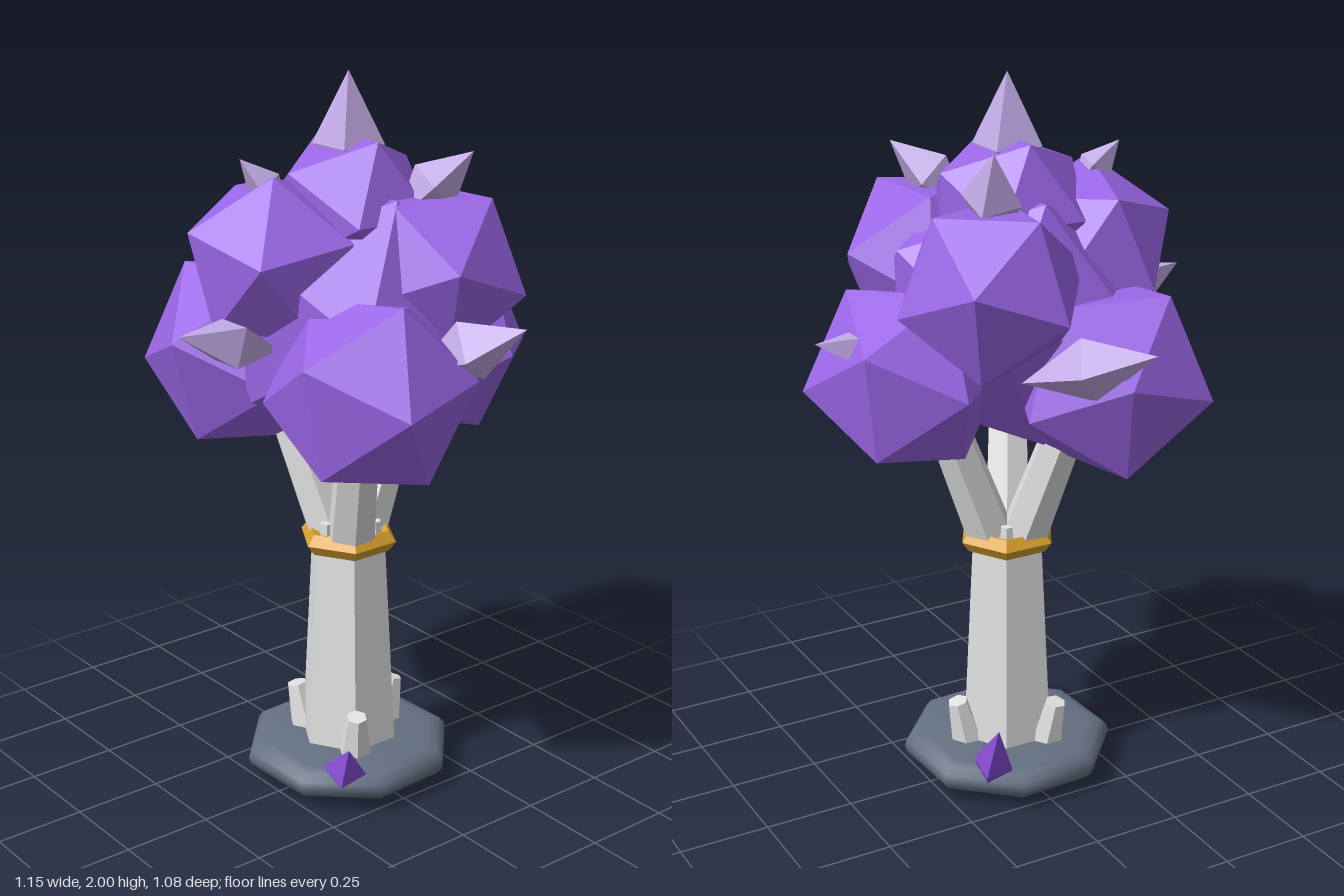
import * as THREE from 'three';
import { toCreasedNormals } from 'three/addons/utils/BufferGeometryUtils.js';

const V = (a) => new THREE.Vector3(...a);
const UP = new THREE.Vector3(0, 1, 0);

function paint(name, color) {
  const m = new THREE.MeshStandardMaterial({ color });
  m.name = name;
  return m;
}

// geometry with one normal per face
function faceted(geometry) {
  const g = geometry.index ? geometry.toNonIndexed() : geometry;
  g.computeVertexNormals();
  return g;
}

export function createModel() {
  const group = new THREE.Group();
  const bark = paint('pale bark', 0xe2e2e2);
  const leaf = paint('violet foliage', 0x9a66e6);
  const shard = paint('lavender crystal', 0xc2aae6);
  const gem = paint('purple crystal', 0x8a4fd8);
  const gold = paint('gold', 0xd9a02e);
  const slate = paint('slate', 0x647082);

  function add(name, geometry, material) {
    const mesh = new THREE.Mesh(geometry, material);
    mesh.name = name;
    group.add(mesh);
    return mesh;
  }

  // tapered six-sided post between two points
  function post(name, from, to, r0, r1) {
    const a = V(from), b = V(to), dir = b.clone().sub(a);
    const g = new THREE.CylinderGeometry(r1, r0, dir.length(), 6);
    g.rotateY(Math.PI / 6);
    const mesh = add(name, faceted(g), bark);
    mesh.position.copy(a).add(b).multiplyScalar(0.5);
    mesh.quaternion.setFromUnitVectors(UP, dir.normalize());
  }

  // stretched octahedron with its widest ring at centre and its point at tip
  function crystal(name, centre, tip, radius, material) {
    const c = V(centre), dir = V(tip).sub(c), len = dir.length();
    const g = new THREE.OctahedronGeometry(1);
    g.rotateY(Math.PI / 4);
    g.scale(radius, len, radius);
    const mesh = add(name, faceted(g), material);
    mesh.position.copy(c);
    mesh.quaternion.setFromUnitVectors(UP, dir.normalize());
  }

  // icosahedron turned so that two neighbouring corners point along d1 and d2
  function clump(name, centre, radius, d1, d2) {
    const a = V(d1).normalize(), b = V(d2).normalize();
    const y = a.clone().add(b).normalize();
    const x = b.sub(a);
    x.addScaledVector(y, -x.dot(y)).normalize();
    const z = x.clone().cross(y);
    const mesh = add(name, faceted(new THREE.IcosahedronGeometry(radius, 0)), leaf);
    mesh.position.set(...centre);
    mesh.quaternion.setFromRotationMatrix(new THREE.Matrix4().makeBasis(x, y, z));
  }

  // octagonal base with a rounded rim
  const rim = [[0, 0.03], [0.245, 0.03], [0.276, 0.038], [0.293, 0.056], [0.297, 0.073],
    [0.293, 0.09], [0.276, 0.108], [0.245, 0.116], [0, 0.116]];
  const baseGeo = new THREE.LatheGeometry(rim.map((p) => new THREE.Vector2(...p)), 8);
  baseGeo.rotateY(-0.35);
  add('base', toCreasedNormals(baseGeo, Math.PI / 3.5), slate);

  // trunk and gold collar
  post('trunk', [0, 0.03, 0], [0, 0.74, 0], 0.145, 0.107);
  const collar = new THREE.TorusGeometry(0.11, 0.031, 5, 6);
  collar.rotateX(Math.PI / 2);
  add('collar', faceted(collar), gold).position.y = 0.718;

  // branches, roots and studs at thirds of a turn
  for (let i = 0; i < 3; i++) {
    const t = (i * Math.PI * 2) / 3, u = t + Math.PI / 3;
    const at = (r, y, w = t) => [r * Math.cos(w), y, r * Math.sin(w)];
    post('branch', at(0.035, 0.68), at(0.24, 1.22), 0.07, 0.054);
    post('root', at(0.112, 0.035), at(0.16, 0.235), 0.06, 0.029);
    post('stud', at(0.078, 0.69, u), at(0.078, 0.772, u), 0.022, 0.018);
  }

  // foliage: core, three lower clumps, three upper clumps and a crown
  clump('foliageCore', [0, 1.37, 0], 0.38, [0, 0.851, 0.526], [0, 0.851, -0.526]);
  clump('lowerFoliage', [-0.14, 1.23, 0.265], 0.28, [-0.3, 0, 0.95], [-0.89, 0.41, 0.16]);
  clump('lowerFoliage', [0.3, 1.23, 0.005], 0.273, [0.165, 0.04, 0.985], [0.43, 0.8, 0.385]);
  clump('lowerFoliage', [-0.165, 1.23, -0.25], 0.285, [-0.35, 0.81, -0.46], [-0.66, -0.14, -0.74]);
  // flat-topped clumps, given by the headings of two corners of the top face
  const topCorner = (deg) => {
    const w = THREE.MathUtils.degToRad(deg);
    return [0.607 * Math.cos(w), 0.795, 0.607 * Math.sin(w)];
  };
  clump('upperFoliage', [0.14, 1.485, 0.178], 0.255, topCorner(55), topCorner(175));
  clump('upperFoliage', [0.148, 1.485, -0.183], 0.255, topCorner(8), topCorner(128));
  clump('upperFoliage', [-0.207, 1.52, -0.045], 0.25, [-0.87, 0.38, -0.3], [-0.2, 0.95, 0.25]);
  clump('crownFoliage', [0, 1.635, 0], 0.23, [0, 0.851, 0.526], [0, 0.851, -0.526]);

  // pale crystals on the foliage: centre, tip, radius
  [
    [[0, 1.81, 0], [0, 2, 0], 0.095],
    [[0.135, 1.71, 0.185], [0.22, 1.8, 0.24], 0.075],
    [[0.14, 1.715, -0.17], [0.16, 1.845, -0.22], 0.08],
    [[-0.25, 1.73, -0.03], [-0.31, 1.8, -0.05], 0.05],
    [[-0.42, 1.36, 0.05], [-0.575, 1.405, 0.05], 0.075],
    [[0.06, 1.34, 0.42], [0.145, 1.405, 0.535], 0.085],
    [[0, 1.32, -0.42], [-0.125, 1.37, -0.54], 0.085],
    [[0.47, 1.345, -0.045], [0.575, 1.37, -0.04], 0.05],
  ].forEach(([c, tip, r]) => crystal('foliageCrystal', c, tip, r, shard));

  // purple crystals on the base
  crystal('baseCrystal', [-0.18, 0.135, 0.21], [-0.2, 0.22, 0.255], 0.06, gem);
  crystal('baseCrystal', [0.155, 0.133, -0.2], [0.17, 0.265, -0.26], 0.056, gem);

  return group;
}
